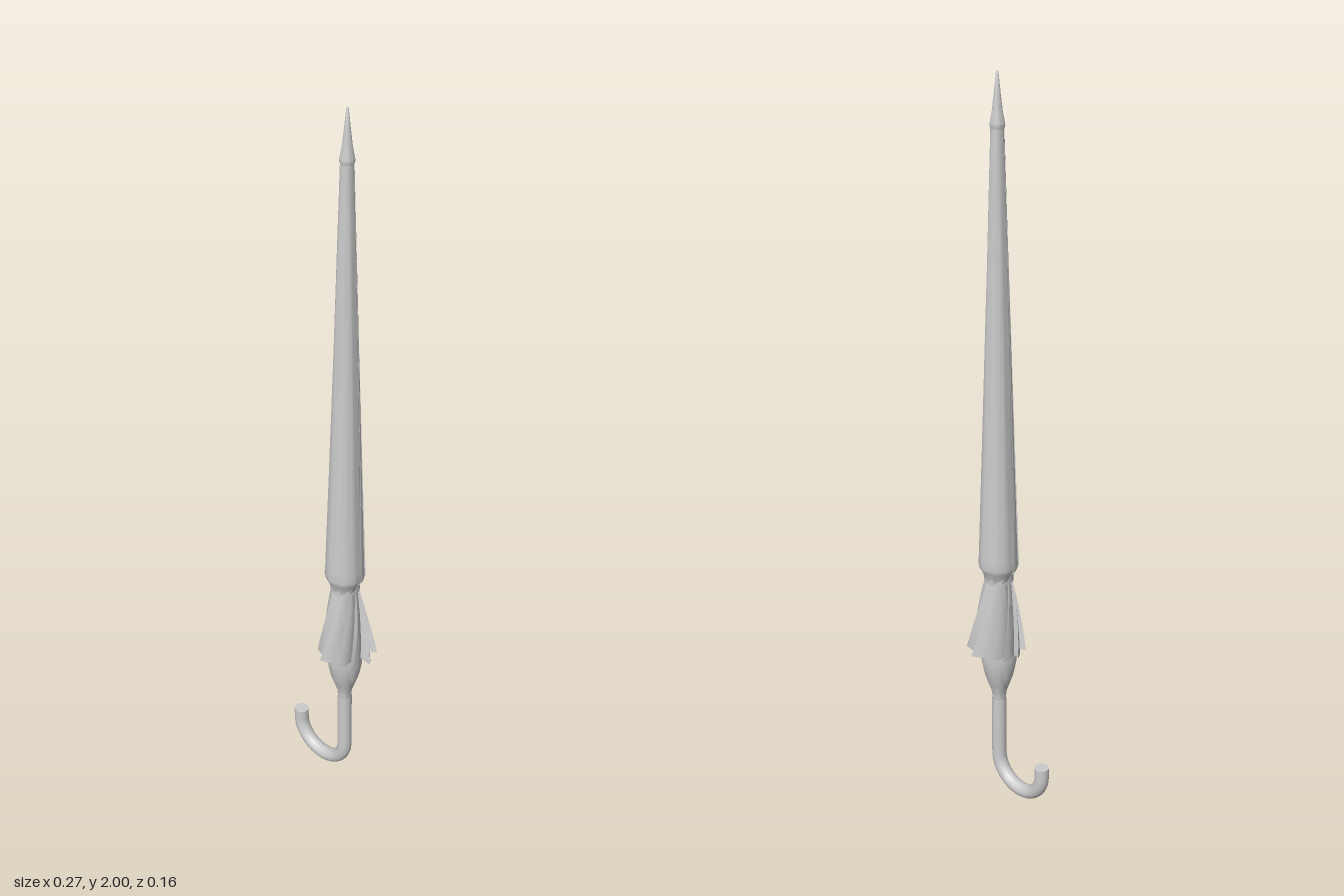
import * as THREE from 'three';
import { toCreasedNormals } from 'three/addons/utils/BufferGeometryUtils.js';

const AXIS_X = 0.045, AXIS_Z = -0.007, FOLDS = 10;
const grey = new THREE.MeshStandardMaterial({ color: 0xcccccc });
const cloth = new THREE.MeshStandardMaterial({ color: 0xcccccc, side: THREE.DoubleSide });

function add(group, name, geometry, material = grey) {
  const mesh = new THREE.Mesh(geometry, material);
  mesh.name = name;
  group.add(mesh);
}

function lathe(points, sides = 24) {
  const geo = new THREE.LatheGeometry(points.map(([r, y]) => new THREE.Vector2(r, y)), sides);
  return toCreasedNormals(geo, 0.6);
}

// Cloth wrapped round the shaft in overlapping folds.
// Each row is { y, valley, tip, twist }; every fold rises from valley to tip, then drops back.
function pleated(rows, overlap, lopsided = 0) {
  const steps = 4, count = FOLDS * (steps + 1), pitch = 2 * Math.PI / FOLDS;
  const pos = [], idx = [];
  rows.forEach(({ y, valley, tip, twist }, i) => {
    for (let f = 0; f < FOLDS; f++) {
      for (let s = 0; s <= steps; s++) {
        const t = s / steps;
        const a = (f + t * overlap) * pitch + twist;
        const outer = tip + lopsided * (i / (rows.length - 1)) * Math.cos(a);
        const r = valley + (outer - valley) * t;
        pos.push(r * Math.cos(a), y, r * Math.sin(a));
      }
    }
    if (i === 0) return;
    for (let k = 0; k < count; k++) {
      const n = (k + 1) % count, up = (i - 1) * count, low = i * count;
      idx.push(up + k, up + n, low + k, up + n, low + n, low + k);
    }
  });
  const geo = new THREE.BufferGeometry();
  geo.setAttribute('position', new THREE.Float32BufferAttribute(pos, 3));
  geo.setIndex(idx);
  return toCreasedNormals(geo, 0.5);
}

export function createModel() {
  const model = new THREE.Group();
  const umbrella = new THREE.Group();
  umbrella.name = 'umbrella';
  umbrella.position.set(AXIS_X, 0, AXIS_Z);
  model.add(umbrella);

  // Pointed ferrule at the top
  add(umbrella, 'ferrule', lathe([
    [0, 1.862], [0.0165, 1.862], [0.0185, 1.868], [0.0175, 1.876],
    [0.013, 1.9], [0.008, 1.945], [0.003, 1.995], [0, 2],
  ], 16));

  // Long rolled canopy, tucked in at its lower end
  const body = [[1.868, 0.0165], [1.6, 0.0245], [1.3, 0.0335], [1.0, 0.0425], [0.72, 0.0515],
    [0.695, 0.053], [0.685, 0.051], [0.672, 0.042], [0.645, 0.037]];
  add(umbrella, 'rolledCanopy', pleated(body.map(([y, r]) => (
    { y, valley: r * 0.93, tip: r, twist: (1.868 - y) * 0.4 })), 1.1), cloth);

  // Strap holding the canopy closed
  add(umbrella, 'strap', lathe([
    [0.034, 0.643], [0.038, 0.645], [0.038, 0.672], [0.034, 0.674],
  ]), cloth);

  // Flared, swirling hem below the strap
  const hem = [];
  for (let i = 0; i <= 6; i++) {
    const t = i / 6;
    hem.push({ y: 0.65 - 0.217 * t, valley: 0.03 + 0.02 * t, tip: 0.036 + 0.043 * t, twist: 0.49 + 0.65 * t });
  }
  add(umbrella, 'hem', pleated(hem, 1.15, 0.009), cloth);

  // Cup over the rib ends, with the shaft running up inside the canopy
  add(umbrella, 'ribCup', lathe([
    [0, 0.27], [0.016, 0.27], [0.0185, 0.275], [0.0185, 0.285], [0.02, 0.3], [0.029, 0.327],
    [0.039, 0.358], [0.046, 0.395], [0.049, 0.43], [0.047, 0.442], [0.02, 0.448], [0, 0.448],
  ]));
  const shaft = new THREE.CylinderGeometry(0.012, 0.012, 1.42, 12);
  shaft.translate(0, 1.15, 0);
  add(umbrella, 'shaft', shaft);

  // Crook handle: straight stem, half circle, short upturned end
  const bend = 0.081, tube = 0.0195, centreY = bend + tube;
  const stem = new THREE.LineCurve3(new THREE.Vector3(0, 0.28, 0), new THREE.Vector3(0, centreY, 0));
  const points = [stem.v1, new THREE.Vector3(0, 0.2, 0)];
  for (let i = 0; i <= 16; i++) {
    const a = Math.PI * i / 16;
    points.push(new THREE.Vector3(-bend + bend * Math.cos(a), centreY - bend * Math.sin(a), 0));
  }
  points.push(new THREE.Vector3(-2 * bend, 0.13, 0));
  const path = new THREE.CatmullRomCurve3(points, false, 'centripetal');
  add(umbrella, 'crookHandle', new THREE.TubeGeometry(path, 60, tube, 18));
  const cap = new THREE.CircleGeometry(tube, 18);
  cap.rotateX(-Math.PI / 2);
  cap.translate(-2 * bend, 0.13, 0);
  add(umbrella, 'handleEnd', cap);

  return model;
}
